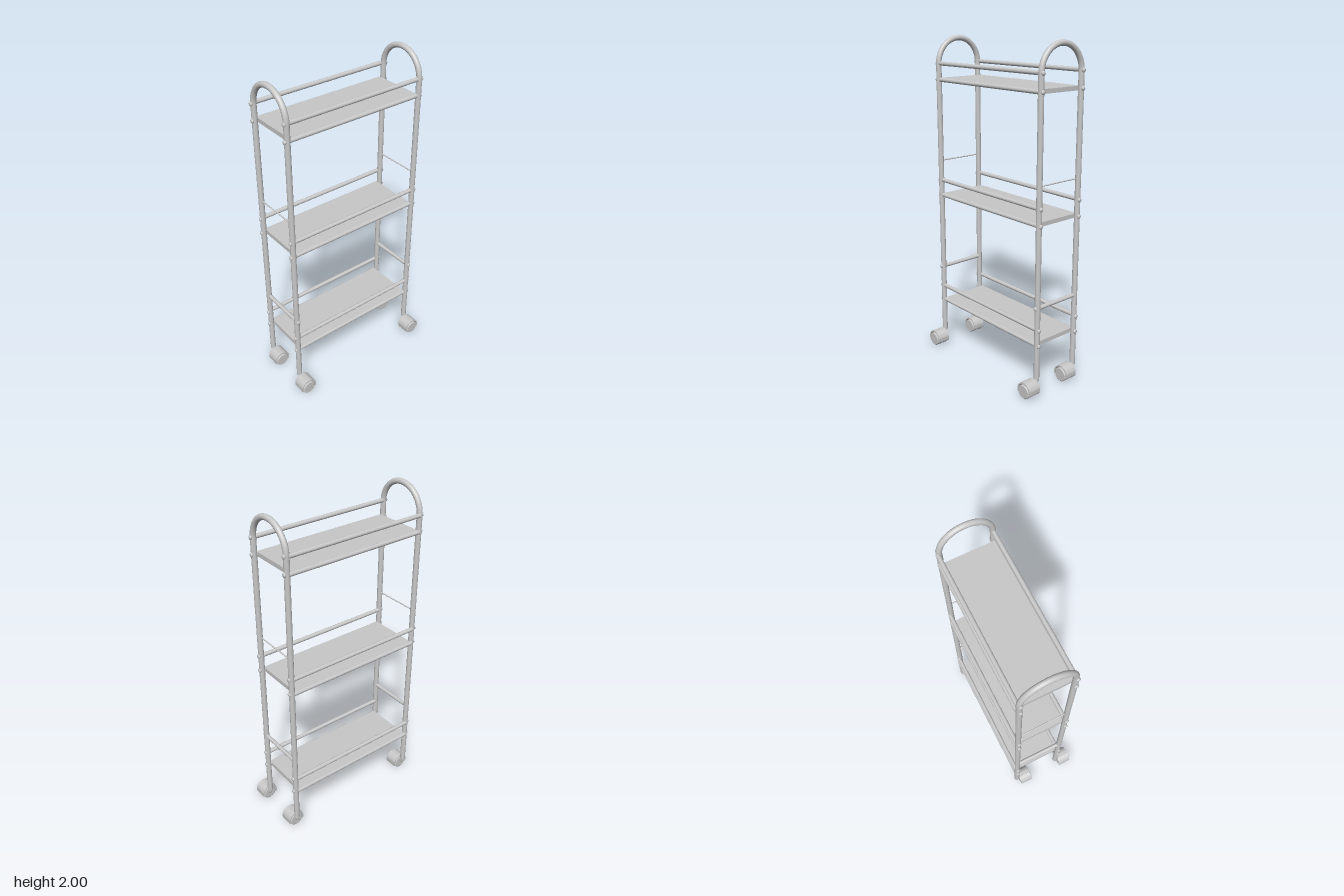
import * as THREE from 'three';
import { toCreasedNormals } from 'three/addons/utils/BufferGeometryUtils.js';

const POST_X = 0.442, FRONT_Z = 0.11, BACK_Z = -0.19, POST_R = 0.0165;
const MID_Z = (FRONT_Z + BACK_Z) / 2, ARCH_R = (FRONT_Z - BACK_Z) / 2;
const SHELVES = [0.305, 1.02, 1.74];
const V = (x, y, z) => new THREE.Vector3(x, y, z);

export function createModel() {
  const model = new THREE.Group();
  model.name = 'trolley';
  const metal = new THREE.MeshStandardMaterial({ color: 0xc8c8c8 });
  metal.name = 'lightGrey';

  const add = (parent, name, geometry, x = 0, y = 0, z = 0) => {
    const mesh = new THREE.Mesh(geometry, metal);
    mesh.name = name;
    mesh.position.set(x, y, z);
    parent.add(mesh);
    return mesh;
  };
  const rod = (axis, radius, length) => {
    const g = new THREE.CylinderGeometry(radius, radius, length, 24);
    if (axis === 'x') g.rotateZ(Math.PI / 2);
    if (axis === 'z') g.rotateX(Math.PI / 2);
    return g;
  };

  // Domed bolt head, flattened along the axis it points down
  const bolt = (x, y, z, axis) => {
    const mesh = add(model, 'bolt', new THREE.SphereGeometry(0.013, 16, 10), x, y, z);
    mesh.scale[axis] = 0.6;
  };

  // Side frames: two posts joined by a half-round arch
  const archY = 2 - POST_R - ARCH_R, footY = 0.085;
  for (const s of [-1, 1]) {
    const x = s * POST_X;
    for (const z of [FRONT_Z, BACK_Z])
      add(model, 'post', rod('y', POST_R, archY - footY), x, (archY + footY) / 2, z);
    const arch = new THREE.TorusGeometry(ARCH_R, POST_R, 20, 40, Math.PI);
    arch.rotateY(Math.PI / 2);
    add(model, 'archHandle', arch, x, archY, MID_Z);

    // Cross bar and thin tie wire between the posts
    add(model, 'crossBar', rod('z', 0.012, 0.29), x, 0.537, MID_Z);
    bolt(x, 0.537, FRONT_Z + 0.018, 'z');
    add(model, 'tieWire', rod('z', 0.004, 0.29), x, 1.242, MID_Z);
  }

  // Shelves, each with a lower edge rail and a guard rail front and back
  for (const y of SHELVES) {
    add(model, 'shelf', new THREE.BoxGeometry(0.856, 0.025, 0.304), 0, y, -0.045);
    for (const ry of [y, y + 0.097])
      for (const [railZ, postZ] of [[0.108, FRONT_Z], [-0.199, BACK_Z]]) {
        add(model, ry === y ? 'edgeRail' : 'guardRail', rod('x', 0.0125, 0.872), 0, ry, railZ);
        for (const s of [-1, 1]) bolt(s * 0.4585, ry, postZ, 'x');
      }
  }

  // Caster: wheel under an open half-round hood, hung on a bent stem
  const hoodShape = new THREE.Shape();
  const a0 = -0.4, a1 = Math.PI + 0.4;
  hoodShape.absarc(0, 0, 0.052, a0, a1, false);
  hoodShape.absarc(0, 0, 0.0445, a1, a0, true);
  hoodShape.closePath();
  const hoodGeo = toCreasedNormals(new THREE.ExtrudeGeometry(hoodShape,
    { depth: 0.08, bevelEnabled: false, curveSegments: 32 }), 0.6);
  const stemCurve = new THREE.CatmullRomCurve3([
    V(0, 0.045, -0.015), V(0, 0.026, -0.015), V(0, 0.01, -0.008), V(0, 0.004, 0.012)]);

  // Wheel profile: two treads with a groove between them
  const profile = [[0, 0], [0.036, 0], [0.0425, 0.004], [0.0425, 0.034], [0.036, 0.036],
    [0.036, 0.046], [0.0425, 0.048], [0.0425, 0.08], [0.038, 0.084], [0, 0.084]]
    .map(([r, h]) => new THREE.Vector2(r, h));
  const wheelGeo = toCreasedNormals(
    new THREE.LatheGeometry(profile, 40).rotateX(Math.PI / 2), 0.5);

  for (const s of [-1, 1])
    for (const z of [FRONT_Z, BACK_Z]) {
      const caster = new THREE.Group();
      caster.name = 'caster';
      caster.position.set(s * 0.436, 0.047, z + 0.015);
      add(caster, 'casterWheel', wheelGeo, 0, -0.0045, 0);
      add(caster, 'casterHood', hoodGeo);
      add(caster, 'casterStem', new THREE.TubeGeometry(stemCurve, 16, 0.009, 14), s * 0.006);
      model.add(caster);
    }
  return model;
}
